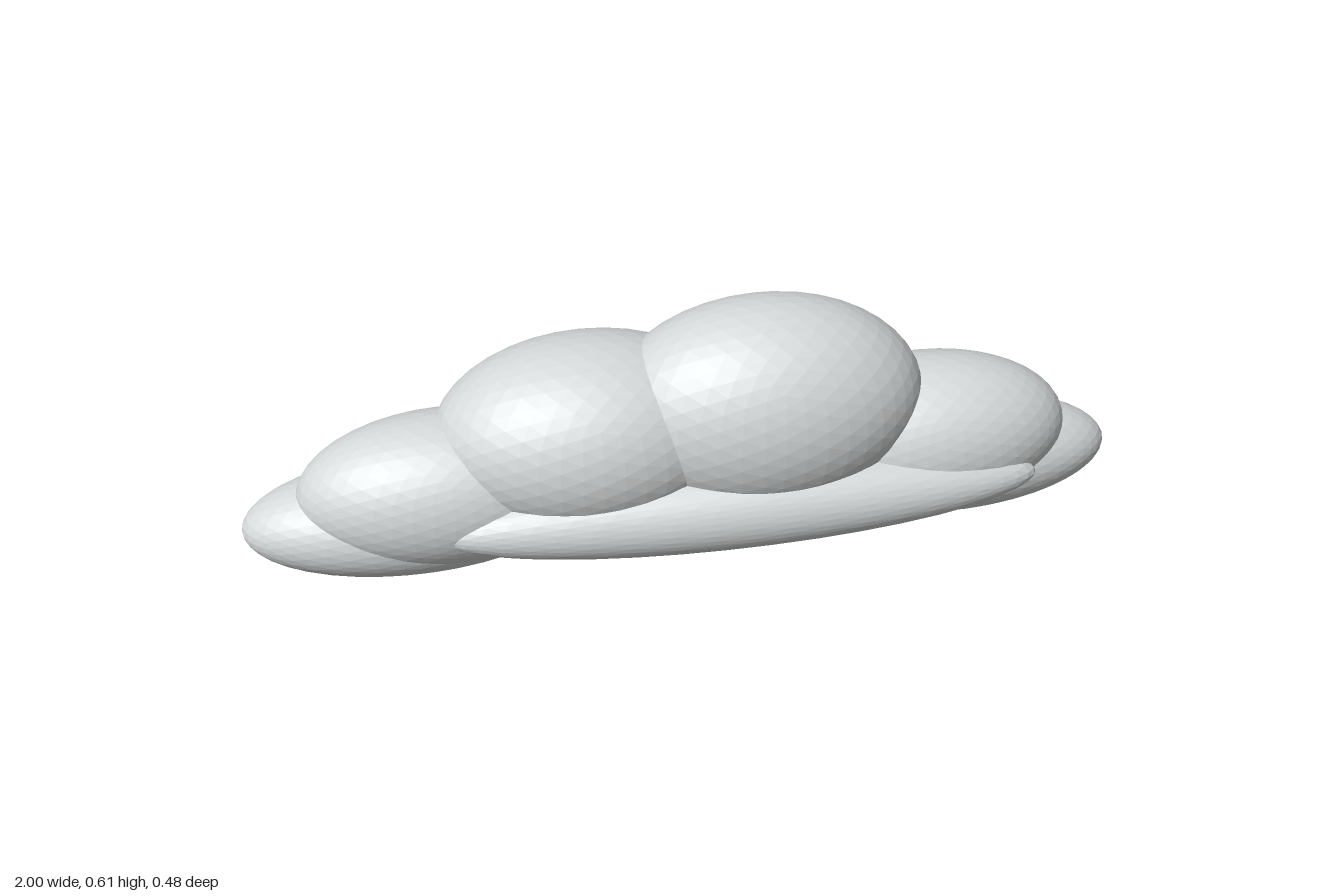
import * as THREE from 'three';

export function createModel() {
  const group = new THREE.Group();
  group.name = 'cloud';
  const cloudGrey = new THREE.MeshStandardMaterial({ color: 0xd5d9d9, flatShading: true });
  cloudGrey.name = 'cloudGrey';
  const ball = new THREE.IcosahedronGeometry(1, 7);

  // One faceted ellipsoid: centre and radii
  function puff(name, centre, radii) {
    const mesh = new THREE.Mesh(ball, cloudGrey);
    mesh.name = name;
    mesh.position.set(...centre);
    mesh.scale.set(...radii);
    group.add(mesh);
  }

  // Crown puffs
  puff('crownLeft', [0.17, 0.365, 0.015], [0.36, 0.247, 0.22]);
  puff('crownRight', [-0.22, 0.32, -0.012], [0.35, 0.22, 0.228]);

  // Shoulder puffs
  puff('shoulderLeft', [0.55, 0.235, 0.005], [0.33, 0.183, 0.178]);
  puff('shoulderRight', [-0.54, 0.215, -0.002], [0.335, 0.177, 0.174]);

  // Row of base puffs
  puff('baseOuterLeft', [0.62, 0.145, -0.02], [0.38, 0.133, 0.15]);
  puff('baseInnerLeft', [0.2, 0.135, -0.02], [0.4, 0.134, 0.163]);
  puff('baseInnerRight', [-0.24, 0.14, -0.02], [0.4, 0.13, 0.16]);
  puff('baseOuterRight', [-0.62, 0.14, -0.02], [0.38, 0.131, 0.155]);

  // Long roll along the front
  puff('frontRoll', [0.1, 0.178, 0.135], [0.68, 0.1, 0.103]);

  return group;
}
